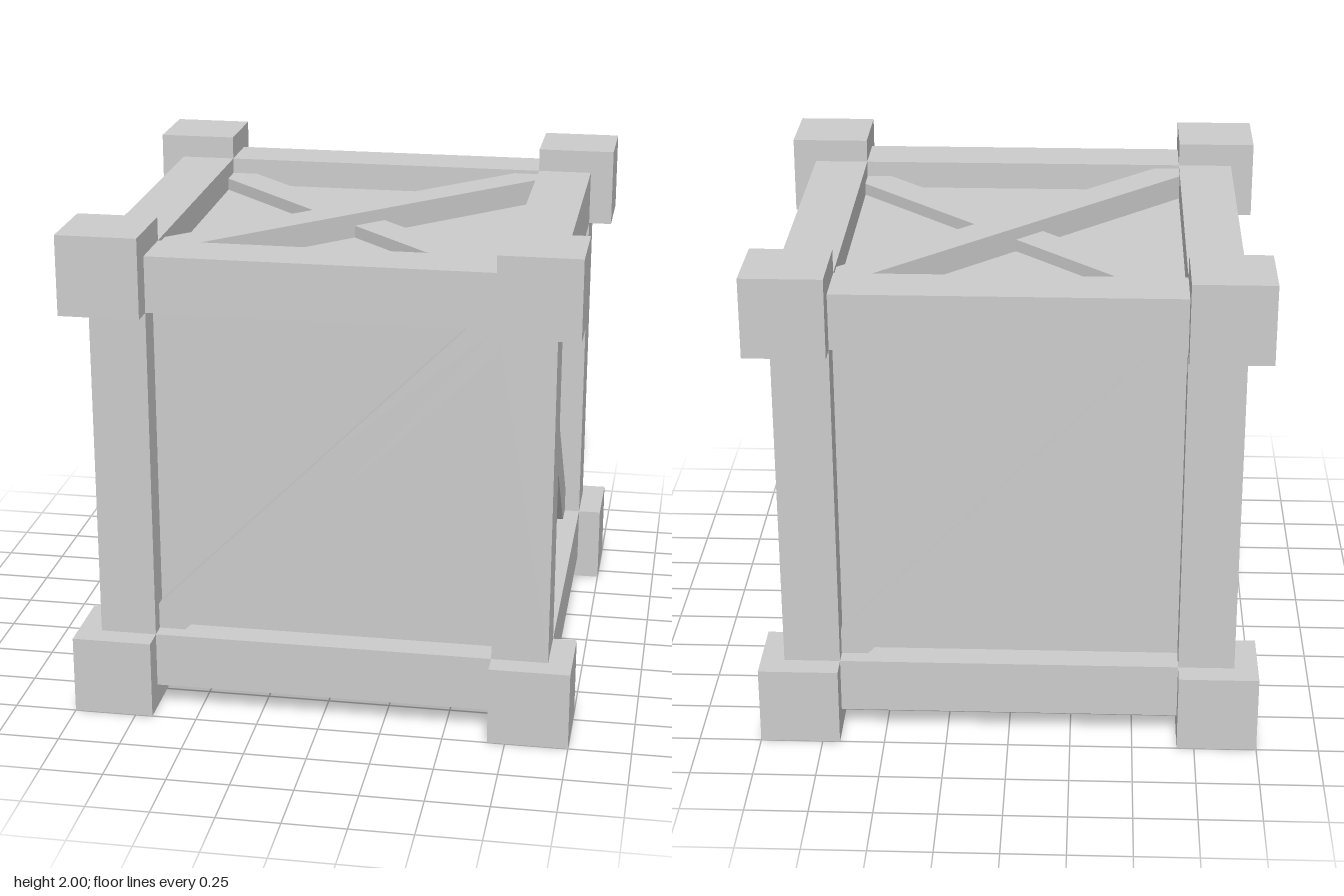
import * as THREE from 'three';

const material = new THREE.MeshStandardMaterial({ color: 0xcccccc, flatShading: true, side: THREE.DoubleSide });

const IN = 0.68;      // inner edge of beams and corner blocks
const OUT = 0.905;    // outer face of beams
const PANEL = 0.79;   // depth of the recessed panels
const HALF = 0.053;   // half the brace width along either axis
const BR = IN - 2 * HALF;

// Flat-shaded geometry from convex polygons, corners counter-clockwise
function polygons(polys) {
  const pos = [];
  for (const p of polys)
    for (let i = 1; i < p.length - 1; i++) pos.push(...p[0], ...p[i], ...p[i + 1]);
  const g = new THREE.BufferGeometry();
  g.setAttribute('position', new THREE.Float32BufferAttribute(pos, 3));
  g.computeVertexNormals();
  return g;
}

function add(parent, name, geometry) {
  const m = new THREE.Mesh(geometry, material);
  m.name = name;
  parent.add(m);
  return m;
}

// Open angle profile swept along z
function beam(profile) {
  const quads = [];
  for (let i = 0; i < profile.length - 1; i++) {
    const [p, q] = [profile[i], profile[i + 1]];
    quads.push([[...p, IN], [...p, -IN], [...q, -IN], [...q, IN]]);
  }
  return polygons(quads);
}

// Half of a diagonal brace, from its centre cut to the upper right corner
function halfBrace(height, cut) {
  const t = PANEL + height;
  const outline = [[IN, IN], [BR, IN], [cut - HALF, cut + HALF], [cut + HALF, cut - HALF], [IN, BR]];
  const side = (a, b) => [[...a, PANEL], [...b, PANEL], [...b, t], [...a, t]];
  return polygons([
    outline.map((p) => [...p, t]),
    side(outline[1], outline[2]),
    side(outline[3], outline[4]),
  ]);
}

// Both halves of a brace, rising to the right unless turned
function addBrace(face, height, cut, turn) {
  for (let i = 0; i < 2; i++)
    add(face, 'diagonalBrace', halfBrace(height, cut)).rotation.z = turn + i * Math.PI;
}

// Recessed panel pieces between the braces
function addPanel(face, crossed, turn) {
  const piece = crossed
    ? [[BR, IN, PANEL], [-BR, IN, PANEL], [0, 2 * HALF, PANEL]]
    : [[-IN, IN, PANEL], [-IN, -BR, PANEL], [BR, IN, PANEL]];
  const n = crossed ? 4 : 2;
  for (let i = 0; i < n; i++)
    add(face, 'panel', polygons([piece])).rotation.z = turn + (i * 2 * Math.PI) / n;
}

export function createModel() {
  const model = new THREE.Group();
  model.name = 'crate';
  const crate = new THREE.Group();
  crate.name = 'crateBody';
  crate.position.y = 1;
  model.add(crate);

  // Corner blocks
  const block = new THREE.BoxGeometry(0.32, 0.32, 0.32);
  for (const x of [-0.84, 0.84])
    for (const y of [-0.84, 0.84])
      for (const z of [-0.84, 0.84]) add(crate, 'cornerBlock', block).position.set(x, y, z);

  // Edge beams; the lower rails are open underneath
  const fullProfile = [[PANEL, IN], [OUT, IN], [OUT, OUT], [IN, OUT], [IN, PANEL]];
  const topRail = beam(fullProfile);
  const post = beam(fullProfile).rotateX(-Math.PI / 2);
  const bottomRail = beam([[OUT, -OUT], [OUT, -IN], [PANEL, -IN]]);
  for (let k = 0; k < 4; k++) {
    const a = (k * Math.PI) / 2;
    add(crate, 'topRail', topRail).rotation.y = a;
    add(crate, 'cornerPost', post).rotation.y = a;
    add(crate, 'bottomRail', bottomRail).rotation.y = a;
  }

  // Side walls, in order front, left, back, right
  const names = ['frontWall', 'leftWall', 'backWall', 'rightWall'];
  const heights = [0.05, 0.05, 0.05, 0.11];
  names.forEach((name, k) => {
    const wall = new THREE.Group();
    wall.name = name;
    wall.rotation.y = (k * Math.PI) / 2;
    const turn = k % 2 ? Math.PI / 2 : 0;
    addPanel(wall, false, turn);
    addBrace(wall, heights[k], 0, turn);
    crate.add(wall);
  });

  // Lid with crossed braces, one passing over the other
  const lid = new THREE.Group();
  lid.name = 'lid';
  lid.rotation.x = -Math.PI / 2;
  addPanel(lid, true, 0);
  addBrace(lid, 0.1, 0, 0);
  addBrace(lid, 0.05, HALF, Math.PI / 2);
  crate.add(lid);

  return model;
}
